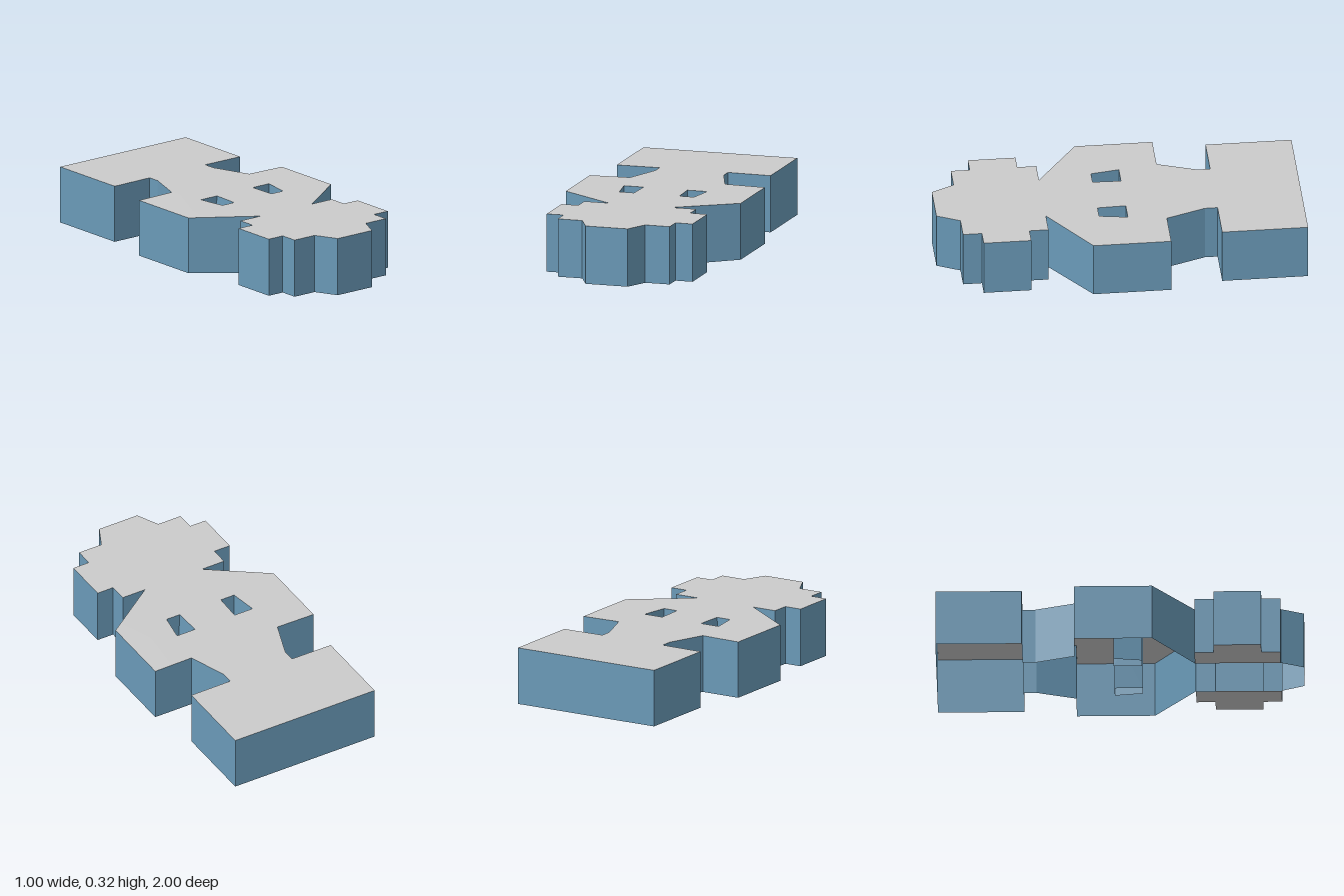
import * as THREE from 'three';

const TOP = 0.322;

// Half outline as [x, z], from the back edge to the front tip
const half = [
  [0.44, -1], [0.44, -0.53], [0.195, -0.53], [0.195, -0.46], [0.272, -0.245],
  [0.5, -0.245], [0.5, 0.18], [0.18, 0.408], [0.32, 0.408], [0.32, 0.512],
  [0.417, 0.512], [0.417, 0.772], [0.32, 0.772], [0.32, 0.875], [0.18, 0.875], [0.12, 1],
];
// Eye slot as [x, z]; its inner side leans outward towards the bottom
const eyeTop = [[0.125, -0.035], [0.238, -0.035], [0.213, 0.12], [0.13, 0.12]];
const eyeBottom = [[0.143, -0.035], [0.238, -0.035], [0.213, 0.12], [0.143, 0.12]];

const mirror = (pts) => pts.map(([x, z]) => [-x, z]).reverse();

// Heights dip slightly at the outer flanks; the body sits a hair above the head
const topY = (x) => TOP - 0.03 * Math.max(0, Math.abs(x) - 0.4);
const bottomY = (z) => (z < 0.4 ? 0.005 : 0);

// Vertical wall between a closed upper loop and a closed lower loop
function wallGeometry(upper, lower) {
  const pos = [];
  upper.forEach((_, i) => {
    const j = (i + 1) % upper.length;
    const a = [upper[i][0], topY(upper[i][0]), upper[i][1]];
    const b = [upper[j][0], topY(upper[j][0]), upper[j][1]];
    const c = [lower[i][0], bottomY(lower[i][1]), lower[i][1]];
    const d = [lower[j][0], bottomY(lower[j][1]), lower[j][1]];
    pos.push(...a, ...b, ...c, ...b, ...d, ...c);
  });
  const g = new THREE.BufferGeometry();
  g.setAttribute('position', new THREE.Float32BufferAttribute(pos, 3));
  g.computeVertexNormals();
  return g;
}

const toPoints = (pts) => pts.map(([x, z]) => new THREE.Vector2(x, -z));

export function createModel() {
  const group = new THREE.Group();
  const grey = new THREE.MeshStandardMaterial({ color: 0xcccccc, side: THREE.DoubleSide });
  const blue = new THREE.MeshStandardMaterial({ color: 0x6a9ab8, side: THREE.DoubleSide });
  const add = (name, geometry, material) => {
    const mesh = new THREE.Mesh(geometry, material);
    mesh.name = name;
    group.add(mesh);
  };

  const outline = [...half, ...mirror(half)];

  // Top plate with two eye slots
  const shape = new THREE.Shape(toPoints(outline));
  shape.holes.push(new THREE.Path(toPoints(eyeTop)), new THREE.Path(toPoints(mirror(eyeTop))));
  const plate = new THREE.ShapeGeometry(shape).rotateX(-Math.PI / 2);
  const p = plate.attributes.position;
  for (let i = 0; i < p.count; i++) p.setY(i, topY(p.getX(i)));
  plate.computeVertexNormals();
  add('topPlate', plate, grey);

  // Outer wall, open underneath
  add('outerWall', wallGeometry([...outline].reverse(), [...outline].reverse()), blue);

  // Walls of the eye slots
  add('leftEyeWall', wallGeometry(eyeTop, eyeBottom), blue);
  add('rightEyeWall', wallGeometry(mirror(eyeTop), mirror(eyeBottom)), blue);

  // Bottom caps under the stepped sides of the head
  const side = half.slice(7, 15);
  side[0] = [0.18, 0.408];
  for (const [name, pts] of [['leftHeadCap', side], ['rightHeadCap', mirror(side)]]) {
    const cap = new THREE.Shape(pts.map(([x, z]) => new THREE.Vector2(x, z)));
    add(name, new THREE.ShapeGeometry(cap).rotateX(Math.PI / 2), grey);
  }
  return group;
}
